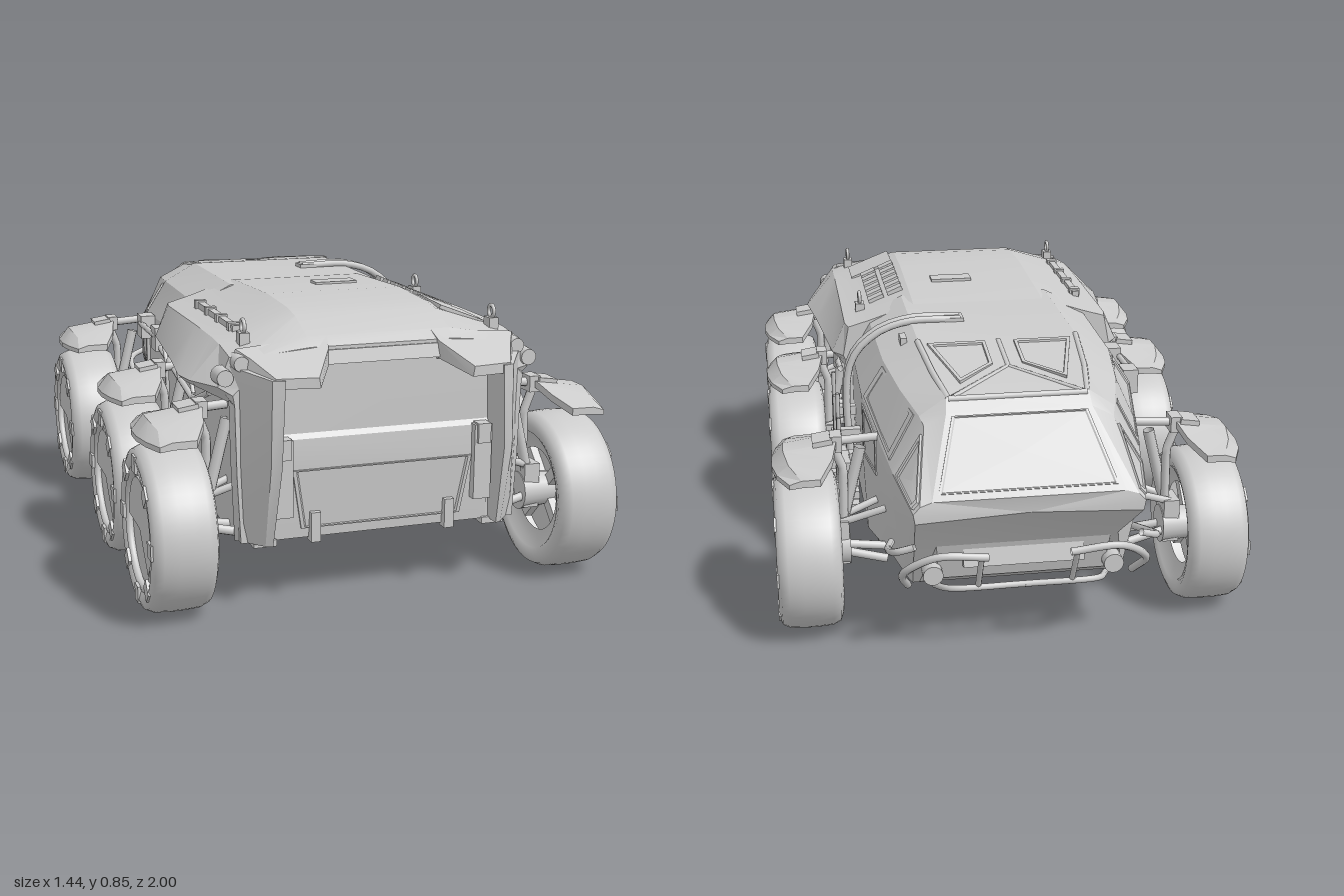
import * as THREE from 'three';
import { toCreasedNormals } from 'three/addons/utils/BufferGeometryUtils.js';

const mat = new THREE.MeshStandardMaterial({ color: 0xcccccc, side: THREE.DoubleSide });
const V = (p) => new THREE.Vector3(...p);

export function createModel() {
  const root = new THREE.Group();
  const add = (name, geo, pos = [0, 0, 0], rot = [0, 0, 0], parent = root) => {
    const m = new THREE.Mesh(geo, mat);
    m.name = name;
    m.position.set(...pos);
    m.rotation.set(...rot);
    parent.add(m);
    return m;
  };
  const box = (name, size, pos, rot, parent) => add(name, new THREE.BoxGeometry(...size), pos, rot, parent);
  const tube = (name, pts, r = 0.01, curved = false) => {
    const path = curved ? new THREE.CatmullRomCurve3(pts.map(V)) : new THREE.CurvePath();
    if (!curved) for (let i = 1; i < pts.length; i++) path.add(new THREE.LineCurve3(V(pts[i - 1]), V(pts[i])));
    return add(name, new THREE.TubeGeometry(path, curved ? 24 : (pts.length - 1) * 6, r, 8));
  };

  // Skin between equal-length closed loops, capped at both ends
  const loft = (name, loops) => {
    const tris = [];
    const n = loops[0].length;
    for (let i = 0; i + 1 < loops.length; i++) for (let k = 0; k < n; k++) {
      const l = (k + 1) % n, a = loops[i], b = loops[i + 1];
      tris.push([a[k], a[l], b[l]], [a[k], b[l], b[k]]);
    }
    const mid = (lp) => [0, 1, 2].map((c) => lp.reduce((s, p) => s + p[c], 0) / n);
    const first = loops[0], last = loops[loops.length - 1], c0 = mid(first), c1 = mid(last);
    for (let k = 0; k < n; k++) {
      const l = (k + 1) % n;
      tris.push([c0, first[l], first[k]], [c1, last[k], last[l]]);
    }
    // Turn the skin outward when the enclosed volume is negative
    const o = V(c0);
    const vol = tris.reduce((s, t) => {
      const [a, b, c] = t.map((p) => V(p).sub(o));
      return s + a.dot(b.cross(c));
    }, 0);
    if (vol < 0) tris.forEach((t) => t.reverse());
    const g = new THREE.BufferGeometry();
    g.setAttribute('position', new THREE.Float32BufferAttribute(tris.flat(2), 3));
    return add(name, toCreasedNormals(g, 0.3));
  };
  const flip = (p, s) => [p[0] * s, p[1], p[2]];
  const whole = (half) => [...half, ...half.map((p) => flip(p, -1)).reverse()];
  // Side profile (z, y) stretched between two x positions
  const slab = (name, prof, x0, x1) => loft(name, [x0, x1].map((x) => prof.map(([z, y]) => [x, y, z])));

  // Raised frame with a sunken pane, laid on a hull face
  const panel = (name, pts, size = 0.85, t = 0.008, rim = 0.85) => {
    const v = pts.map(V), c = new THREE.Vector3();
    v.forEach((p) => c.addScaledVector(p, 1 / v.length));
    const nrm = v[2].clone().sub(v[0]).cross(v[1].clone().sub(v[v.length - 1])).normalize();
    if (nrm.dot(c.clone().sub(V([0, 0.45, c.z * 0.9]))) < 0) nrm.negate();
    const ring = (s, h) => v.map((p) => p.clone().sub(c).multiplyScalar(s).add(c).addScaledVector(nrm, h).toArray());
    return loft(name, [ring(size, -0.015), ring(size, t), ring(size * rim, t), ring(size * rim * 0.98, t * 0.25)]);
  };

  // Cabin hull: half sections from bottom edge to roof edge
  const at = (z, pts) => pts.map((p) => [p[0], p[1], p[2] ?? z]);
  const cabin = [
    at(0.1, [[0.42, 0.2], [0.43, 0.45], [0.43, 0.67], [0.37, 0.77], [0.25, 0.83]]),
    at(-0.4, [[0.42, 0.2], [0.43, 0.45], [0.43, 0.66], [0.36, 0.77], [0.25, 0.83]]),
    at(-0.62, [[0.36, 0.2], [0.4, 0.45], [0.4, 0.6], [0.33, 0.75], [0.23, 0.8]]),
    at(-0.77, [[0.33, 0.2], [0.375, 0.43], [0.375, 0.56], [0.29, 0.72], [0.21, 0.775]]),
    at(-0.8, [[0.32, 0.2], [0.37, 0.44], [0.37, 0.55], [0.28, 0.7], [0.215, 0.735]]),
    at(-0.99, [[0.28, 0.37, -0.9], [0.33, 0.48], [0.335, 0.51], [0.315, 0.53, -0.985], [0.28, 0.54, -0.98]]),
  ];
  loft('cabinHull', cabin.map(whole));
  loft('chin', [whole(at(-0.8, [[0.3, 0.2], [0.31, 0.42]])), whole(at(-0.9, [[0.25, 0.24, -0.86], [0.26, 0.38]]))]);

  // Rear body with flared shoulders
  const body = [[-0.01, 0.46, 0.83, 0.77], [0.04, 0.495, 0.835, 0.77], [0.42, 0.53, 0.85, 0.775], [0.62, 0.555, 0.842, 0.775],
    [0.7, 0.54, 0.83, 0.77], [0.81, 0.485, 0.79, 0.755], [0.845, 0.43, 0.765, 0.74]].map(([z, w, top, sh]) => at(z, [
    [0.43, 0.2], [0.44, 0.4], [0.445, 0.61], [Math.max(w - 0.02, 0.45), 0.64], [w, 0.66],
    [Math.min(0.45, w - 0.02), sh - 0.01], [0.37, sh + 0.01], [0.22, top]]));
  loft('rearBody', body.map(whole));

  // Rear hatch, set back below the hoods
  slab('rearHatch', [[0.8, 0.73], [0.835, 0.73], [0.835, 0.53], [0.855, 0.5], [0.86, 0.42], [0.845, 0.2], [0.8, 0.2]], -0.34, 0.34);
  panel('upperHatchPanel', [[-0.2, 0.65, 0.835], [0.2, 0.65, 0.835], [0.22, 0.55, 0.835], [-0.22, 0.55, 0.835]], 1, 0.008, 0.94);
  panel('lowerHatchPanel', [[-0.28, 0.41, 0.86], [0.28, 0.41, 0.86], [0.25, 0.23, 0.847], [-0.25, 0.23, 0.847]], 1, 0.006, 0.96);
  loft('hatchLintel', [-1, 1].map((e) => [[0.2 * e, 0.755, 0.82], [0.2 * e, 0.755, 0.85], [0.2 * e, 0.715, 0.86], [0.2 * e, 0.715, 0.82]]));

  for (const s of [1, -1]) {
    const sp = (pts) => pts.map((p) => flip(p, s));
    // Rear pillars and overhanging hoods
    loft('rearPillar', [
      sp([[0.33, 0.7, 0.96], [0.365, 0.7, 0.95], [0.455, 0.72, 0.81], [0.33, 0.72, 0.81]]),
      sp([[0.34, 0.45, 0.96], [0.37, 0.45, 0.95], [0.45, 0.45, 0.81], [0.34, 0.45, 0.81]]),
      sp([[0.35, 0.2, 0.9], [0.37, 0.2, 0.89], [0.44, 0.2, 0.81], [0.35, 0.2, 0.81]])]);
    loft('rearHood', [
      sp([[0.16, 0.7, 0.82], [0.45, 0.7, 0.8], [0.43, 0.765, 0.8], [0.16, 0.79, 0.81]]),
      sp([[0.17, 0.71, 0.855], [0.41, 0.69, 0.855], [0.4, 0.745, 0.855], [0.17, 0.762, 0.855]]),
      sp([[0.23, 0.675, 0.967], [0.365, 0.675, 0.95], [0.355, 0.705, 0.95], [0.235, 0.705, 0.967]])]);
    box('hatchHinge', [0.055, 0.23, 0.03], [s * 0.31, 0.39, 0.865]);
    box('hingeCap', [0.04, 0.06, 0.04], [s * 0.31, 0.48, 0.87]);
    box('towHook', [0.03, 0.09, 0.04], [s * 0.21, 0.235, 0.85]);
    add('tailLight', new THREE.CylinderGeometry(0.024, 0.028, 0.06, 20), [s * 0.47, 0.69, 0.81], [Math.PI / 2, 0, 0]);
    add('tailLight', new THREE.CylinderGeometry(0.022, 0.026, 0.06, 20), [s * 0.425, 0.73, 0.82], [Math.PI / 2, 0, 0]);
    for (const z of [-0.45, 0.45, 0.82]) box('jackFoot', [0.07, 0.02, 0.07], [s * 0.36, 0.195, z]);

    // Shoulder rail and its braces
    tube('shoulderRail', [[s * 0.48, 0.62, 0.7], [s * 0.48, 0.55, 0.5], [s * 0.47, 0.61, 0]], 0.01);
    for (const z of [0.15, 0.32, 0.5]) tube('railBrace', [[s * 0.48, 0.57, z], [s * 0.48, 0.65, z - 0.06]], 0.007);

    // Cabin glass and panels
    const sec = cabin.map(sp);
    const face = (i, j, k) => [sec[i][k], sec[i][k + 1], sec[j][k + 1], sec[j][k]];
    panel('frontSideWindow', face(4, 5, 2), 0.84);
    panel('rearSideWindow', face(1, 3, 2), 0.86, 0.006);
    panel('cheekPanel', face(1, 2, 1), 0.8, 0.004);
    panel('roofWindow', sp([[0.16, 0.788, -0.7], [0.045, 0.801, -0.59], [0.045, 0.824, -0.44], [0.225, 0.824, -0.44]]), 1, 0.008, 0.86);
    tube('canopyFrame', sp([[0.205, 0.768, -0.77], [0.23, 0.796, -0.62], [0.25, 0.825, -0.4]]), 0.01);
    tube('canopyBrace', sp([[0.19, 0.772, -0.77], [0, 0.798, -0.6]]), 0.009);

    // Nose guard tubes and lamps
    tube('noseGuard', sp([[0.33, 0.4, -0.97], [0.38, 0.38, -0.95], [0.395, 0.34, -0.85], [0.375, 0.3, -0.72]]), 0.011, true);
    tube('noseGuard', sp([[0.34, 0.22, -0.85], [0.36, 0.3, -0.93], [0.27, 0.37, -0.985], [0.12, 0.36, -0.985]]), 0.012, true);
    tube('noseGuard', sp([[0.26, 0.21, -0.84], [0.22, 0.23, -0.91], [0, 0.23, -0.915]]), 0.01, true);
    tube('guardPost', sp([[0.14, 0.23, -0.915], [0.14, 0.36, -0.985]]), 0.009);
    add('headLamp', new THREE.CylinderGeometry(0.03, 0.03, 0.05, 20), [s * 0.27, 0.27, -0.88], [Math.PI / 2, 0, 0]);
  }
  panel('nosePanel', [[-0.2, 0.728, -0.807], [0.2, 0.728, -0.807], [0.26, 0.555, -0.965], [-0.26, 0.555, -0.965]], 1, 0.004, 0.97);
  tube('canopyRidge', [[0, 0.798, -0.6], [0, 0.822, -0.42]], 0.009);
  tube('canopyBrow', [[-0.205, 0.768, -0.77], [0.205, 0.768, -0.77]], 0.01);
  box('chinGrille', [0.36, 0.07, 0.03], [0, 0.32, -0.88], [0.25, 0, 0]);

  // Wheel parts, turned about the axle
  const half = [[0.13, 0.062], [0.17, 0.07], [0.185, 0.09], [0.21, 0.097], [0.232, 0.088], [0.243, 0.065], [0.246, 0.02]];
  const tyreProfile = [...half.map(([r, x]) => [r, -x]), ...half.slice().reverse()].map((p) => new THREE.Vector2(...p));
  const tyre = new THREE.LatheGeometry(tyreProfile, 56);
  const addWheel = (s, z) => {
    const w = new THREE.Group();
    w.name = 'wheel';
    w.position.set(s * 0.622, 0.245, z);
    w.rotation.z = -s * Math.PI / 2;
    root.add(w);
    add('tyre', tyre, [0, 0, 0], [0, 0, 0], w);
    add('hubDisc', new THREE.CylinderGeometry(0.165, 0.165, 0.09, 40), [0, 0.025, 0], [0, 0, 0], w);
    add('hubCover', new THREE.CylinderGeometry(0.15, 0.158, 0.02, 40, 1, false, 0, Math.PI * 1.25), [0, 0.075, 0], [0, s * 0.8, 0], w);
    add('rimRing', new THREE.TorusGeometry(0.176, 0.012, 8, 48), [0, 0.08, 0], [Math.PI / 2, 0, 0], w);
    for (let i = 0; i < 8; i++) {
      const a = i * Math.PI / 4;
      box('rimLug', [0.05, 0.025, 0.045], [Math.cos(a) * 0.195, 0.087, Math.sin(a) * 0.195], [0, -a, 0], w);
      if (i % 2) box('innerSpoke', [0.13, 0.03, 0.035], [Math.cos(a) * 0.1, -0.03, Math.sin(a) * 0.1], [0, -a, 0], w);
    }
    add('axleHub', new THREE.CylinderGeometry(0.05, 0.06, 0.12, 20), [0, -0.07, 0], [0, 0, 0], w);

    // Mudguard: thin plate, highest inboard and tapering to both ends
    loft('mudguard', [[-0.18, 0.58, 0.67, 0.545], [-0.1, 0.54, 0.705, 0.575], [-0.03, 0.525, 0.718, 0.6], [0.04, 0.525, 0.718, 0.6], [0.11, 0.54, 0.705, 0.575], [0.18, 0.575, 0.68, 0.545]]
      .map(([dz, a, b, y]) => [[a, y - 0.022], [a, y], [b - 0.035, y * 0.6 + 0.217], [b, 0.533], [b, 0.518], [b - 0.04, y * 0.5 + 0.25]]
        .map(([x, h]) => [s * x, h, z + dz])));
    box('mudguardCap', [0.06, 0.02, 0.08], [s * 0.565, 0.597, z], [0, 0, -s * 0.15]);

    // Suspension
    const px = (x, y, dz) => [s * x, y, z + dz];
    tube('mudguardPost', [px(0.51, 0.27, 0), px(0.505, 0.5, 0), px(0.535, 0.58, 0)], 0.014);
    tube('mudguardArm', [px(0.38, 0.6, 0), px(0.54, 0.59, 0)], 0.014);
    box('mudguardJoint', [0.035, 0.05, 0.06], px(0.525, 0.59, 0));
    tube('damper', [px(0.45, 0.56, 0.02), px(0.515, 0.3, 0.02)], 0.018);
    for (const d of [-0.045, 0.045]) {
      tube('lowerArm', [px(0.38, 0.21, d), px(0.53, 0.24, d * 0.5)], 0.014);
      tube('upperArm', [px(0.38, 0.38, d), px(0.52, 0.33, d * 0.5)], 0.012);
    }
    box('knuckle', [0.05, 0.14, 0.09], px(0.52, 0.27, 0));
  };
  for (const s of [1, -1]) for (const z of [0.752, 0.212, -0.603]) addWheel(s, z);

  // Loading crane on the left side
  for (const d of [-0.018, 0.018]) tube('craneArm', [[0.09, 0.835, -0.2 + d], [0.26, 0.835, -0.2 + d], [0.37, 0.795, -0.2 + d], [0.45, 0.7, -0.2 + d], [0.45, 0.2, -0.2 + d]], 0.012, true);
  box('craneFoot', [0.06, 0.02, 0.06], [0.11, 0.832, -0.2]);
  box('craneHead', [0.09, 0.14, 0.07], [0.48, 0.26, -0.2]);
  box('craneCarriage', [0.1, 0.05, 0.08], [0.485, 0.37, -0.2]);
  for (const z of [-0.1, -0.31]) {
    for (const d of [-0.022, 0, 0.022]) tube('toolRod', [[0.5, 0.2, z + d], [0.5, d ? 0.56 : 0.635, z + d]], 0.007);
    for (let i = 0; i < 5; i++) {
      box('toolClamp', [0.045, 0.032, 0.11 - (i % 2) * 0.04], [0.49, 0.22 + i * 0.045, z]);
      box('toolHousing', [0.03, 0.025, 0.04], [0.455, 0.24 + i * 0.045, z]);
    }
    box('toolBracket', [0.08, 0.03, 0.03], [0.46, 0.5, z]);
  }

  // Side door and grab rails on the right
  panel('sideDoor', [[-0.43, 0.62, -0.36], [-0.43, 0.62, -0.04], [-0.43, 0.26, -0.04], [-0.43, 0.26, -0.36]], 1, 0.015, 0.9);
  for (const z of [-0.07, -0.3]) box('doorHinge', [0.05, 0.08, 0.07], [-0.455, 0.63, z]);
  tube('doorRail', [[-0.43, 0.64, -0.33], [-0.475, 0.64, -0.31], [-0.475, 0.64, -0.07], [-0.43, 0.64, -0.05]], 0.01);

  // Roof fittings
  box('roofRail', [0.022, 0.025, 0.46], [-0.38, 0.785, 0.4]);
  for (const z of [0.2, 0.33, 0.46, 0.6]) box('railClip', [0.035, 0.035, 0.025], [-0.38, 0.785, z]);
  box('roofHatchHandle', [0.14, 0.02, 0.06], [0.06, 0.841, 0.24]);
  for (let i = 0; i < 6; i++) for (const x of [0.265, 0.33]) box('ventSlat', [0.055, 0.018, 0.042], [x, 0.828 - (x - 0.265) * 0.4, 0.18 + i * 0.064], [0, 0, -0.4]);
  box('servicePanel', [0.16, 0.012, 0.17], [0.315, 0.805, 0.61], [0.03, 0, -0.37]);
  box('roofBlade', [0.02, 0.03, 0.06], [0.29, 0.812, -0.34]);
  for (const [x, z] of [[0.39, 0.14], [0.39, 0.74], [-0.39, 0.74]]) {
    box('liftLug', [0.03, 0.05, 0.04], [x, 0.775, z]);
    add('liftRing', new THREE.TorusGeometry(0.018, 0.006, 8, 20), [x, 0.818, z], [0, Math.PI / 2, 0]);
  }
  return root;
}
